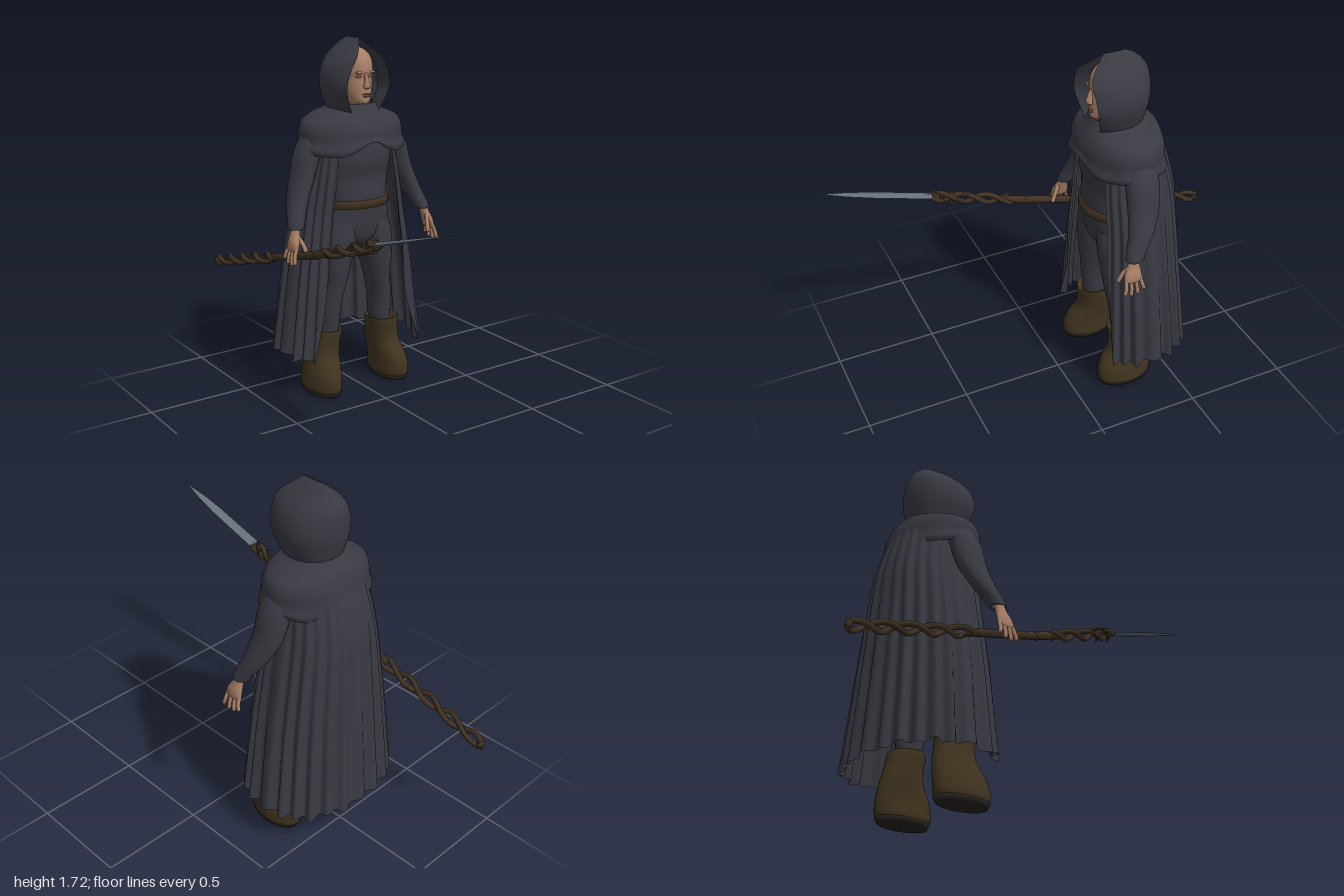
import * as THREE from 'three';

const mat = (name, color, side = THREE.FrontSide) => {
  const m = new THREE.MeshStandardMaterial({ color, side });
  m.name = name;
  return m;
};

// grid surface from a rule f(u, v) -> [x, y, z]; s = -1 mirrors it in x
function surface(nu, nv, f, { closed = false, s = 1 } = {}) {
  const pos = [], idx = [], cols = closed ? nu : nu + 1;
  for (let j = 0; j <= nv; j++)
    for (let i = 0; i < cols; i++) {
      const [x, y, z] = f(i / nu, j / nv);
      pos.push(x * s, y, z);
    }
  for (let j = 0; j < nv; j++)
    for (let i = 0; i < nu; i++) {
      const i1 = (i + 1) % cols;
      const a = j * cols + i, b = j * cols + i1, c = b + cols, d = a + cols;
      if (s > 0) idx.push(a, b, c, a, c, d);
      else idx.push(a, c, b, a, d, c);
    }
  const g = new THREE.BufferGeometry();
  g.setAttribute('position', new THREE.Float32BufferAttribute(pos, 3));
  g.setIndex(idx);
  g.computeVertexNormals();
  return g;
}

// smooth interpolation through rows of numbers
function sample(rows, v) {
  const n = rows.length - 1, k = Math.min(Math.floor(v * n), n - 1), t = v * n - k;
  const r = (i) => rows[Math.max(0, Math.min(n, i))];
  return rows[0].map((_, c) => {
    const [a, b, d, e] = [r(k - 1)[c], r(k)[c], r(k + 1)[c], r(k + 2)[c]];
    return b + 0.5 * t * (d - a + t * (2 * a - 5 * b + 4 * d - e + t * (3 * (b - d) + e - a)));
  });
}

// closed form from horizontal ellipses, rows bottom up: [y, centreX, radiusX, frontZ, backZ]
function loft(rows, { nu = 32, nv = (rows.length - 1) * 5, s = 1, warp = (p) => p } = {}) {
  return surface(nu, nv, (u, v) => {
    const a = u * Math.PI * 2, [y, cx, rx, zf, zb] = sample(rows, v);
    return warp([cx + Math.max(rx, 0) * Math.sin(a), y, (zf + zb) / 2 + (zf - zb) / 2 * Math.cos(a)], a, v);
  }, { closed: true, s });
}

const tube = (pts, r, seg = 10, sides = 8) =>
  new THREE.TubeGeometry(new THREE.CatmullRomCurve3(pts.map((p) => new THREE.Vector3(...p))), seg, r, sides);

export function createModel() {
  const model = new THREE.Group();
  const cloth = mat('dark cloth', 0x393a42, THREE.DoubleSide);
  const skin = mat('skin', 0xa87f66);
  const lipTone = mat('lips and eyelids', 0x805a4a);
  const boot = mat('boot leather', 0x41341f);
  const sole = mat('sole', 0x25211d);
  const leather = mat('belt leather', 0x423222);
  const wood = mat('twisted wood', 0x403122);
  const steel = mat('steel', 0x65707a, THREE.DoubleSide);
  const add = (name, geo, m, parent = model) => {
    const mesh = new THREE.Mesh(geo, m);
    mesh.name = name;
    parent.add(mesh);
    return mesh;
  };
  const blob = (name, m, p, r) => {
    const b = add(name, new THREE.SphereGeometry(1, 16, 10), m);
    b.position.set(...p);
    b.scale.set(...r);
  };

  // torso and belt
  add('torso', loft([[0.73, 0, 0.03, -0.2, -0.34], [0.77, 0, 0.13, -0.17, -0.375], [0.84, 0, 0.182, -0.155, -0.39],
    [0.92, 0, 0.168, -0.145, -0.385], [0.98, 0, 0.163, -0.14, -0.385], [1.07, 0, 0.178, -0.145, -0.4],
    [1.16, 0, 0.19, -0.128, -0.41], [1.26, 0, 0.195, -0.14, -0.42], [1.35, 0, 0.1, -0.2, -0.38], [1.4, 0, 0.055, -0.21, -0.35]],
    { nu: 40 }), cloth);
  add('belt', loft([[0.925, 0, 0.16, -0.15, -0.38], [0.927, 0, 0.173, -0.127, -0.393],
    [0.963, 0, 0.172, -0.126, -0.393], [0.965, 0, 0.158, -0.15, -0.38]], { nu: 40, nv: 3 }), leather);

  // head, from neck to crown
  add('head', loft([[1.35, 0, 0.05, -0.24, -0.34], [1.4, 0, 0.05, -0.215, -0.34], [1.414, 0, 0.036, -0.172, -0.34],
    [1.428, 0, 0.05, -0.156, -0.345], [1.46, 0, 0.066, -0.156, -0.36], [1.5, 0, 0.076, -0.158, -0.375],
    [1.54, 0, 0.081, -0.162, -0.385], [1.57, 0, 0.083, -0.154, -0.39], [1.62, 0, 0.079, -0.164, -0.385],
    [1.66, 0, 0.056, -0.2, -0.36], [1.685, 0, 0.002, -0.27, -0.29]]), skin);
  add('nose', loft([[1.487, 0, 0.002, -0.154, -0.165], [1.494, 0, 0.016, -0.14, -0.17], [1.503, 0, 0.016, -0.134, -0.17],
    [1.53, 0, 0.01, -0.141, -0.17], [1.565, 0, 0.008, -0.153, -0.17]], { nu: 12 }), skin);
  blob('upper lip', lipTone, [0, 1.464, -0.158], [0.024, 0.004, 0.007]);
  blob('lower lip', lipTone, [0, 1.455, -0.157], [0.02, 0.005, 0.007]);
  for (const s of [1, -1]) {
    blob('eyelid', lipTone, [0.033 * s, 1.546, -0.17], [0.015, 0.006, 0.006]);
    blob('brow', skin, [0.034 * s, 1.565, -0.165], [0.021, 0.006, 0.008]);
    blob('ear', skin, [0.086 * s, 1.54, -0.25], [0.01, 0.028, 0.018]);
  }

  // hood rows: [y, outer half width, opening half width, front z, back z]
  const hoodRows = [[1.36, 0.105, 0.06, -0.17, -0.4], [1.41, 0.13, 0.09, -0.16, -0.412], [1.5, 0.155, 0.118, -0.137, -0.43],
    [1.58, 0.143, 0.102, -0.128, -0.433], [1.64, 0.105, 0.068, -0.13, -0.42], [1.69, 0.045, 0.024, -0.18, -0.375],
    [1.72, 0.003, 0.001, -0.215, -0.32]];
  add('hood', surface(56, 36, (u, v) => {
    const [y, W, w, zf, zb] = sample(hoodRows, v);
    const a0 = Math.asin(Math.min(w / W, 0.9)), a = a0 + u * 2 * (Math.PI - a0), c = Math.cos(a);
    const depth = c > 0 ? (zf + 0.28) / Math.cos(a0) : 0.28 + zb;
    return [W * Math.sin(a), y, -0.28 + (c > 0 ? depth * c : -depth * c)];
  }), cloth);
  for (const s of [1, -1])
    add('hood lining', surface(3, 36, (u, v) => {
      const [y, , w, zf] = sample(hoodRows, v);
      return [w * (1 - 0.18 * u), y - 0.008 * u, zf - 0.07 * u];
    }, { s }), cloth);

  // shoulder mantle with a notched, wavy hem
  add('shoulder mantle', loft([[1.195, 0, 0.272, -0.095, -0.5], [1.215, 0, 0.28, -0.09, -0.505], [1.25, 0, 0.268, -0.1, -0.497],
    [1.3, 0, 0.264, -0.105, -0.49], [1.34, 0, 0.243, -0.12, -0.478], [1.37, 0, 0.185, -0.138, -0.465],
    [1.39, 0, 0.135, -0.15, -0.43], [1.42, 0, 0.105, -0.165, -0.4]], {
    nu: 80,
    warp: ([x, y, z], a, v) => {
      const low = Math.max(0, 1 - v * 2.2), front = Math.cos(a) > 0 ? 1 : 0;
      const fold = 1 + 0.018 * low * Math.cos(a * 11);
      return [x * fold, y + low * (0.045 * front * Math.exp(-((x / 0.07) ** 2)) + 0.01 * Math.cos(a * 4)),
        -0.3 + (z + 0.3) * fold];
    },
  }), cloth);

  // pleated cape, open at the front; rows: [y, radiusX, centreZ, radiusZ, opening angle]
  const capeRows = [[0.2, 0.358, -0.37, 0.252, 0.78], [0.6, 0.312, -0.36, 0.228, 0.6], [0.9, 0.268, -0.355, 0.21, 0.56],
    [1.1, 0.232, -0.345, 0.2, 0.55], [1.34, 0.19, -0.32, 0.155, 0.55]];
  add('cape', surface(200, 28, (u, v) => {
    const [y, rx, cz, rz, a0] = sample(capeRows, v);
    const a = a0 + u * 2 * (Math.PI - a0), sn = Math.sin(a), cs = Math.cos(a);
    const e = cs > 0 ? 0.6 : 0.9;
    const pleat = 1 + (0.012 + 0.04 * (1 - v)) * Math.cos(a * 24) + 0.008 * Math.sin(a * 9 + 2 * v);
    return [rx * pleat * Math.sign(sn) * Math.abs(sn) ** e, y + 0.008 * (1 - v) * Math.cos(a * 12),
      cz + rz * pleat * Math.sign(cs) * Math.abs(cs) ** e];
  }), cloth);

  for (const s of [1, -1]) {
    const side = s > 0 ? 'left' : 'right';
    // legs and boots
    add(side + ' leg', loft([[0.25, 0.155, 0.045, -0.22, -0.33], [0.33, 0.152, 0.052, -0.215, -0.345],
      [0.45, 0.146, 0.056, -0.2, -0.35], [0.55, 0.128, 0.06, -0.185, -0.35], [0.65, 0.118, 0.079, -0.17, -0.37],
      [0.76, 0.104, 0.093, -0.16, -0.385], [0.86, 0.085, 0.085, -0.165, -0.375]], { s }), cloth);
    add(side + ' boot', loft([[0.015, 0.2, 0.078, -0.14, -0.4], [0.04, 0.2, 0.083, -0.13, -0.411], [0.09, 0.198, 0.081, -0.133, -0.412],
      [0.14, 0.19, 0.078, -0.155, -0.408], [0.19, 0.18, 0.077, -0.19, -0.4], [0.25, 0.173, 0.078, -0.198, -0.385],
      [0.313, 0.168, 0.082, -0.192, -0.372], [0.316, 0.168, 0.07, -0.205, -0.36], [0.29, 0.166, 0.045, -0.23, -0.33]], { s }), boot);
    add(side + ' sole', loft([[0, 0.2, 0.001, -0.27, -0.272], [0.001, 0.2, 0.072, -0.145, -0.395],
      [0.024, 0.2, 0.083, -0.131, -0.41], [0.026, 0.2, 0.06, -0.16, -0.38]], { nv: 3, s }), sole);

    // sleeve
    add(side + ' sleeve', loft([[0.872, 0.362, 0.026, -0.18, -0.235], [0.866, 0.363, 0.036, -0.168, -0.25],
      [0.9, 0.352, 0.04, -0.175, -0.27], [0.97, 0.325, 0.046, -0.198, -0.32], [1.08, 0.28, 0.055, -0.213, -0.365],
      [1.2, 0.243, 0.06, -0.215, -0.375], [1.3, 0.195, 0.05, -0.23, -0.36]], { nu: 24, s }), cloth);

    // hand with four fingers and a thumb
    const hand = new THREE.Group();
    hand.name = side + ' hand';
    model.add(hand);
    add('palm', loft([[0.762, 0.392, 0.004, -0.165, -0.225], [0.77, 0.392, 0.014, -0.148, -0.236],
      [0.805, 0.386, 0.02, -0.15, -0.234], [0.845, 0.373, 0.021, -0.172, -0.228], [0.885, 0.362, 0.022, -0.18, -0.23]],
      { nu: 16, s }), skin, hand);
    for (let i = 0; i < 4; i++) {
      const z = -0.157 - i * 0.023, len = [0.052, 0.062, 0.058, 0.042][i], spread = (1.5 - i) * 0.008;
      const tip = [0.408 * s, 0.772 - len, z + spread];
      add('finger', tube([[0.39 * s, 0.785, z], [0.405 * s, 0.765 - len * 0.4, z + spread * 0.5], tip], 0.0095), skin, hand);
      add('fingertip', new THREE.SphereGeometry(0.0095, 8, 6), skin, hand).position.set(...tip);
    }
    const thumbTip = [0.351 * s, 0.762, -0.138];
    add('thumb', tube([[0.374 * s, 0.835, -0.18], [0.358 * s, 0.8, -0.155], thumbTip], 0.011), skin, hand);
    add('thumb tip', new THREE.SphereGeometry(0.011, 8, 6), skin, hand).position.set(...thumbTip);
  }

  // spear: plain grip, twisted strands at both ends, curling vines and a blade
  const spear = new THREE.Group();
  spear.name = 'spear';
  model.add(spear);
  const spearY = (z) => 0.79 + (z > 0 ? 0.33 : 0.268) * z;
  const strand = (z0, z1, radius, pitch, phase, r) => {
    const pts = [], n = Math.ceil((z1 - z0) / 0.025);
    for (let i = 0; i <= n; i++) {
      const z = z0 + (z1 - z0) * i / n, a = z / pitch * Math.PI * 2 + phase;
      pts.push([-0.38 + radius * Math.cos(a), spearY(z) + radius * Math.sin(a), z]);
    }
    return tube(pts, r, n * 3, 7);
  };
  add('grip', strand(-0.42, 0.14, 0, 1, 0, 0.019), wood, spear);
  for (const phase of [0, Math.PI]) {
    add('rear strand', strand(-0.995, -0.36, 0.02, 0.26, phase, 0.013), wood, spear);
    add('front strand', strand(0.08, 0.49, 0.019, 0.24, phase, 0.013), wood, spear);
    add('vine', strand(0.3, 0.47, 0.03, 0.15, phase + 1, 0.005), wood, spear);
  }
  for (const z of [-0.985, -0.38, 0.0, 0.1, 0.47]) {
    const knot = add('knot', new THREE.SphereGeometry(0.022, 12, 8), wood, spear);
    knot.position.set(-0.38, spearY(z), z);
    knot.scale.z = 0.7;
  }
  const blade = add('blade', loft([[0, 0, 0.014, 0.008, -0.008], [0.03, 0, 0.03, 0.01, -0.01], [0.33, 0, 0.028, 0.006, -0.006],
    [0.45, 0, 0.02, 0.004, -0.004], [0.575, 0, 0.0005, 0.0005, -0.0005]], { nu: 4, nv: 4 }).toNonIndexed(), steel, spear);
  blade.geometry.computeVertexNormals();
  blade.position.set(-0.38, 0.942, 0.45);
  blade.rotation.x = Math.atan2(0.55, 0.168);

  return model;
}
